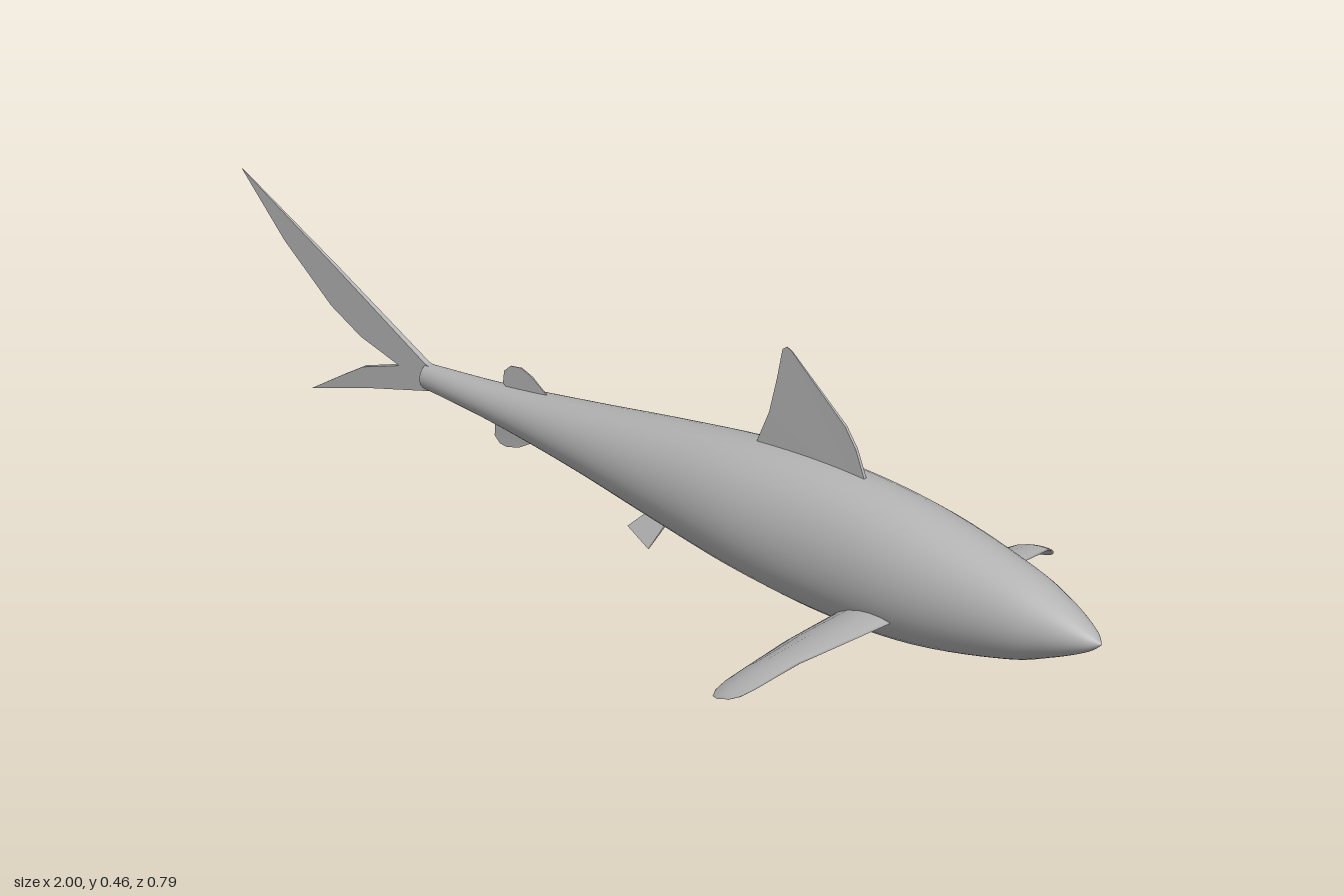
import * as THREE from 'three';

const skin = new THREE.MeshStandardMaterial({ color: 0xb3b3b3 });
skin.name = 'grey skin';

// Skin a list of closed rings of points into one smooth surface
function loft(rings, flip = false) {
  const n = rings[0].length, index = [];
  for (let i = 0; i < rings.length - 1; i++) {
    for (let j = 0; j < n; j++) {
      const a = i * n + j, b = i * n + (j + 1) % n, c = a + n, d = b + n;
      index.push(...(flip ? [a, c, b, b, c, d] : [a, b, c, b, d, c]));
    }
  }
  const geo = new THREE.BufferGeometry();
  geo.setAttribute('position', new THREE.Float32BufferAttribute(rings.flat(2), 3));
  geo.setIndex(index);
  geo.computeVertexNormals();
  return geo;
}

// Thin plate in the xy plane that thins out away from its root point
function finGeometry(points, root, thickness) {
  const shape = new THREE.Shape(points.map(([x, y]) => new THREE.Vector2(x, y)));
  const geo = new THREE.ExtrudeGeometry(shape, { depth: thickness, bevelEnabled: false });
  geo.translate(0, 0, -thickness / 2);
  const dist = (x, y) => Math.hypot(x - root[0], y - root[1]);
  const reach = Math.max(...points.map(([x, y]) => dist(x, y)));
  const p = geo.attributes.position;
  for (let i = 0; i < p.count; i++) {
    p.setZ(i, p.getZ(i) * (1 - 0.85 * dist(p.getX(i), p.getY(i)) / reach));
  }
  geo.computeVertexNormals();
  return geo;
}

// Body stations: x, belly height, back height, half width
const STATIONS = [
  [-0.57, 0.118, 0.163, 0.019], [-0.4, 0.108, 0.179, 0.035], [-0.2, 0.085, 0.208, 0.058],
  [0, 0.053, 0.24, 0.082], [0.2, 0.024, 0.267, 0.104], [0.4, 0.007, 0.277, 0.107],
  [0.6, 0.015, 0.263, 0.102], [0.8, 0.053, 0.225, 0.077], [0.9, 0.087, 0.194, 0.052],
  [0.97, 0.118, 0.162, 0.024], [1, 0.139, 0.141, 0.001],
];

function bodyGeometry() {
  const heights = new THREE.CatmullRomCurve3(
    STATIONS.map(s => new THREE.Vector3(s[0], s[1], s[2])), false, 'catmullrom');
  const widths = new THREE.CatmullRomCurve3(
    STATIONS.map(s => new THREE.Vector3(s[0], s[3], 0)), false, 'catmullrom');
  const rings = [], steps = 60, sides = 40;
  for (let i = 0; i <= steps; i++) {
    const h = heights.getPoint(i / steps), w = widths.getPoint(i / steps).y;
    const ring = [];
    for (let j = 0; j < sides; j++) {
      const a = j / sides * Math.PI * 2;
      ring.push([h.x, (h.y + h.z) / 2 + (h.z - h.y) / 2 * Math.cos(a), w * Math.sin(a)]);
    }
    rings.push(ring);
  }
  return loft(rings);
}

// Pectoral stations: z, trailing x and y, leading x and y, bulge
const PECTORAL = [
  [0.06, 0.45, 0.048, 0.592, 0.08, 1], [0.1, 0.45, 0.045, 0.592, 0.08, 1],
  [0.2, 0.446, 0.034, 0.591, 0.08, 1], [0.31, 0.443, 0.015, 0.588, 0.079, 0.9],
  [0.345, 0.443, 0.01, 0.565, 0.058, 0.75], [0.37, 0.447, 0.006, 0.543, 0.038, 0.5],
  [0.388, 0.457, 0.003, 0.522, 0.022, 0.3], [0.395, 0.475, 0.005, 0.5, 0.012, 0.05],
];

function pectoralGeometry(side) {
  const rings = PECTORAL.map(([z, tx, ty, lx, ly, bulge]) => {
    const ring = [];
    for (let j = 0; j < 16; j++) {
      const a = j / 16 * Math.PI * 2, u = (1 - Math.cos(a)) / 2;
      const lift = 0.014 * Math.sin(Math.PI * u) + 0.007 * Math.sin(a);
      ring.push([tx + (lx - tx) * u, ty + (ly - ty) * u + bulge * lift, z * side]);
    }
    return ring;
  });
  return loft(rings, side > 0);
}

export function createModel() {
  const model = new THREE.Group();
  model.name = 'shark';
  const add = (name, geo) => {
    const mesh = new THREE.Mesh(geo, skin);
    mesh.name = name;
    model.add(mesh);
    return mesh;
  };

  add('body', bodyGeometry());

  // Closed end of the tail stem
  const cap = add('tailStemCap', new THREE.CircleGeometry(1, 40));
  cap.scale.set(0.019, 0.0225, 1);
  cap.rotation.y = -Math.PI / 2;
  cap.position.set(-0.57, 0.1405, 0);

  // Forked tail with a long upper lobe
  add('tailFin', finGeometry([
    [-0.54, 0.158], [-0.57, 0.165], [-0.78, 0.278], [-1, 0.392], [-0.9, 0.29],
    [-0.79, 0.203], [-0.72, 0.167], [-0.63, 0.142], [-0.715, 0.112],
    [-0.765, 0.08], [-0.835, 0.033], [-0.7, 0.077], [-0.57, 0.114], [-0.54, 0.122],
  ], [-0.55, 0.14], 0.012));

  add('dorsalFin', finGeometry([
    [0.2, 0.24], [0.2, 0.268], [0.228, 0.33], [0.246, 0.4], [0.258, 0.458], [0.268, 0.465],
    [0.28, 0.46], [0.405, 0.36], [0.43, 0.325], [0.45, 0.275], [0.44, 0.24],
  ], [0.34, 0.24], 0.01));

  add('rearDorsalFin', finGeometry([
    [-0.36, 0.165], [-0.392, 0.185], [-0.39, 0.208], [-0.375, 0.222], [-0.35, 0.226],
    [-0.325, 0.217], [-0.28, 0.186], [-0.29, 0.165],
  ], [-0.34, 0.165], 0.009));

  add('analFin', finGeometry([
    [-0.39, 0.125], [-0.41, 0.105], [-0.412, 0.08], [-0.4, 0.069], [-0.385, 0.067],
    [-0.355, 0.075], [-0.33, 0.09], [-0.305, 0.115],
  ], [-0.35, 0.125], 0.009));

  // Paired fins, mirrored across the body
  for (const side of [1, -1]) {
    const label = side > 0 ? 'front' : 'back';
    add(label + 'PectoralFin', pectoralGeometry(side));

    const pelvic = add(label + 'PelvicFin', finGeometry([
      [-0.025, 0.02], [-0.033, 0], [-0.06, -0.031], [0, -0.055], [0.018, 0], [0.022, 0.02],
    ], [0, 0.02], 0.006));
    pelvic.position.set(0, 0.065, side * 0.03);
    pelvic.rotation.x = -side * 0.55;
  }
  return model;
}
